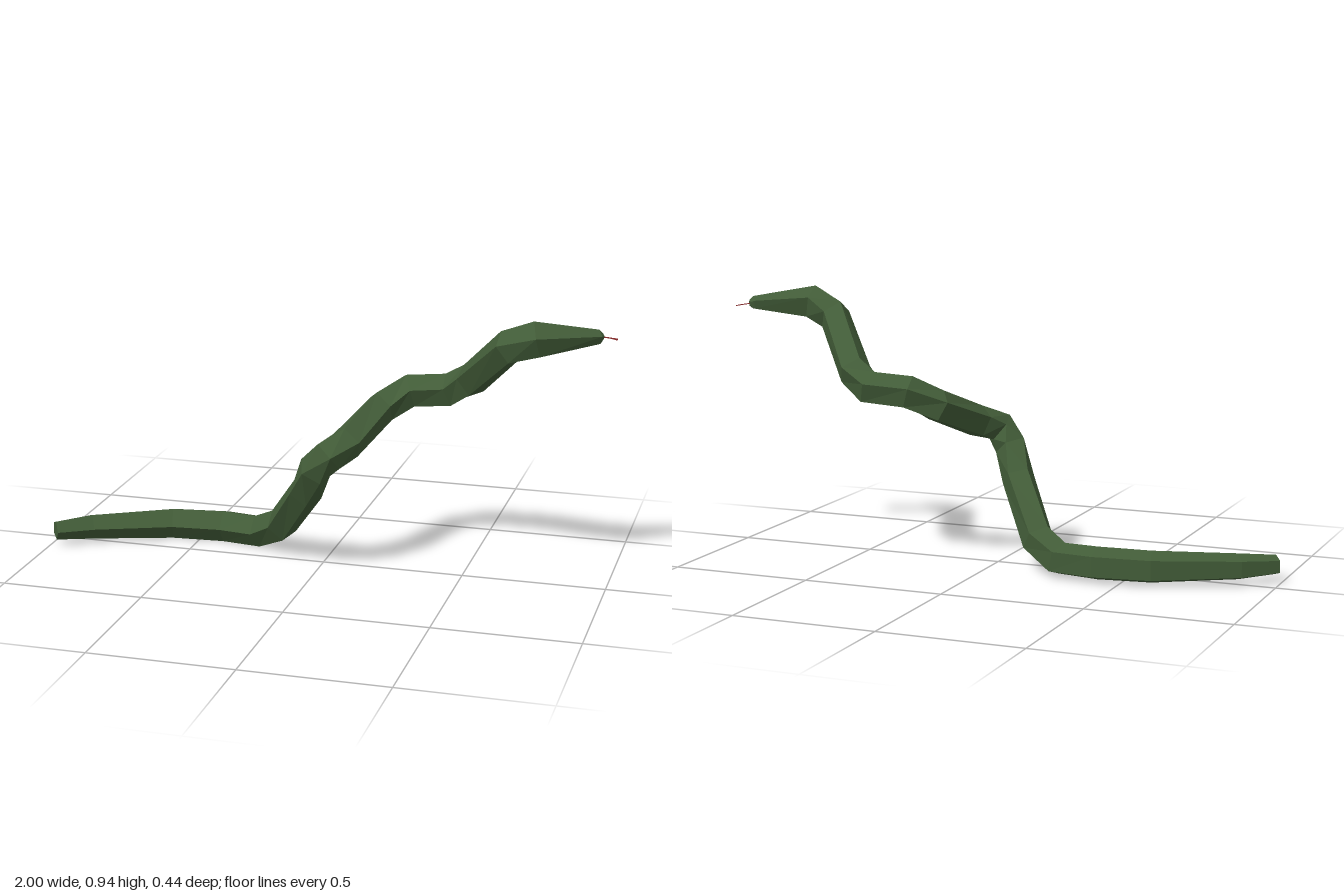
import * as THREE from 'three';

// Body rings from tail to nose: x, y, z, radius, roll in degrees
const RINGS = [
  [-0.98, 0.06, 0.09, 0.035, 0], [-0.87, 0.06, 0.01, 0.047, 0],
  [-0.6, 0.06, -0.11, 0.058, 0], [-0.41, 0.06, -0.13, 0.06, 0],
  [-0.27, 0.06, -0.11, 0.06, 0], [-0.17, 0.11, -0.05, 0.06, 0],
  [-0.04, 0.29, 0.09, 0.06, 0], [0.01, 0.39, 0.15, 0.06, 0],
  [0.06, 0.45, 0.16, 0.06, 8], [0.11, 0.48, 0.09, 0.06, 12],
  [0.18, 0.56, -0.11, 0.06, 14], [0.27, 0.61, -0.16, 0.06, 15],
  [0.41, 0.62, -0.17, 0.06, 15], [0.49, 0.67, -0.13, 0.06, 15],
  [0.65, 0.84, 0.04, 0.06, 14], [0.75, 0.88, 0.06, 0.063, 13],
  [0.94, 0.88, -0.03, 0.025, 13], [0.95, 0.88, -0.04, 0.012, 13],
];
const SIDES = 5;

// Five-sided skin swept through the rings, closed at both ends
function bodyGeometry() {
  const centres = RINGS.map(([x, y, z]) => new THREE.Vector3(x, y, z));
  const dirs = centres.slice(1).map((c, i) => c.clone().sub(centres[i]).normalize());
  const up = new THREE.Vector3(0, 1, 0);
  const positions = [], index = [];
  const n = RINGS.length;
  centres.forEach((c, i) => {
    const t = dirs[Math.max(i - 1, 0)].clone().add(dirs[Math.min(i, n - 2)]).normalize();
    const side = t.clone().cross(up).normalize();
    const top = side.clone().cross(t);
    const [, , , r, roll] = RINGS[i];
    for (let j = 0; j < SIDES; j++) {
      const a = (j / SIDES) * Math.PI * 2 + THREE.MathUtils.degToRad(roll);
      const p = c.clone().addScaledVector(side, r * Math.cos(a)).addScaledVector(top, r * Math.sin(a));
      positions.push(p.x, p.y, p.z);
    }
  });
  for (let i = 0; i < n - 1; i++) {
    for (let j = 0; j < SIDES; j++) {
      const k = (j + 1) % SIDES;
      const a = i * SIDES + j, b = i * SIDES + k, c = b + SIDES, d = a + SIDES;
      index.push(a, d, c, a, c, b);
    }
  }
  const last = (n - 1) * SIDES;
  for (let j = 1; j < SIDES - 1; j++) {
    index.push(0, j, j + 1, last, last + j + 1, last + j);
  }
  const g = new THREE.BufferGeometry();
  g.setAttribute('position', new THREE.Float32BufferAttribute(positions, 3));
  g.setIndex(index);
  const flat = g.toNonIndexed();
  flat.computeVertexNormals();
  return flat;
}

// Thin strip between two points
function strip(from, to, material, name) {
  const a = new THREE.Vector3(...from), b = new THREE.Vector3(...to);
  const mesh = new THREE.Mesh(new THREE.BoxGeometry(0.005, 0.003, a.distanceTo(b)), material);
  mesh.position.copy(a).add(b).multiplyScalar(0.5);
  mesh.lookAt(b);
  mesh.name = name;
  return mesh;
}

export function createModel() {
  const model = new THREE.Group();
  model.name = 'snake';

  const skin = new THREE.MeshStandardMaterial({ color: 0x425c38, flatShading: true });
  const body = new THREE.Mesh(bodyGeometry(), skin);
  body.name = 'body';
  model.add(body);

  // Forked tongue
  const red = new THREE.MeshStandardMaterial({ color: 0x8a2a2a, flatShading: true });
  const tongue = new THREE.Group();
  tongue.name = 'tongue';
  const fork = [0.98, 0.874, -0.045];
  tongue.add(strip([0.94, 0.88, -0.035], fork, red, 'tongueStem'));
  tongue.add(strip(fork, [1, 0.87, -0.043], red, 'leftTongueTip'));
  tongue.add(strip(fork, [1, 0.87, -0.053], red, 'rightTongueTip'));
  model.add(tongue);

  return model;
}
